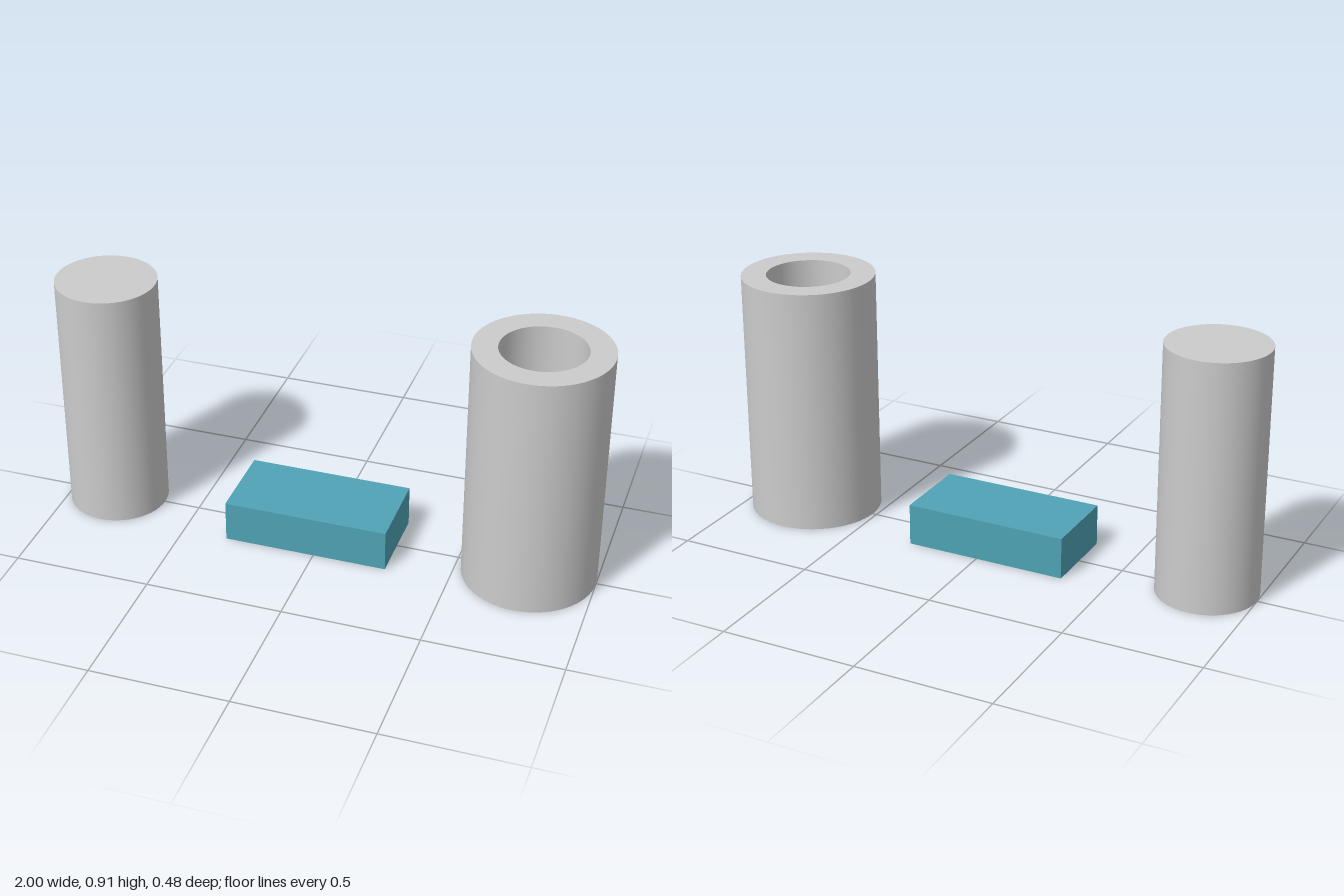
import * as THREE from 'three';

const HEIGHT = 0.908;

export function createModel() {
  const model = new THREE.Group();
  const grey = new THREE.MeshStandardMaterial({ color: 0xcccccc });
  const teal = new THREE.MeshStandardMaterial({ color: 0x4fa3b5 });

  const add = (name, geometry, material, x, y) => {
    const mesh = new THREE.Mesh(geometry, material);
    mesh.name = name;
    mesh.position.set(x, y, 0);
    model.add(mesh);
  };

  // Solid round post
  add('solidCylinder', new THREE.CylinderGeometry(0.182, 0.182, HEIGHT, 64), grey, -0.818, HEIGHT / 2);

  // Low rectangular block
  add('block', new THREE.BoxGeometry(0.602, 0.153, 0.304), teal, -0.032, 0.0765);

  // Thick-walled tube, open right through
  const ring = new THREE.Shape().absarc(0, 0, 0.242, 0, Math.PI * 2);
  ring.holes.push(new THREE.Path().absarc(0, 0, 0.152, 0, Math.PI * 2, true));
  const tube = new THREE.ExtrudeGeometry(ring, { depth: HEIGHT, bevelEnabled: false, curveSegments: 32 });
  tube.rotateX(-Math.PI / 2);
  // Smooth radial normals on the walls, flat ends
  const pos = tube.attributes.position;
  const normal = tube.attributes.normal;
  for (let i = 0; i < pos.count; i++) {
    if (Math.abs(normal.getY(i)) > 0.5) continue;
    const x = pos.getX(i), z = pos.getZ(i), r = Math.hypot(x, z);
    const sign = r > 0.2 ? 1 : -1;
    normal.setXYZ(i, sign * x / r, 0, sign * z / r);
  }
  add('tube', tube, grey, 0.758, 0);

  return model;
}
